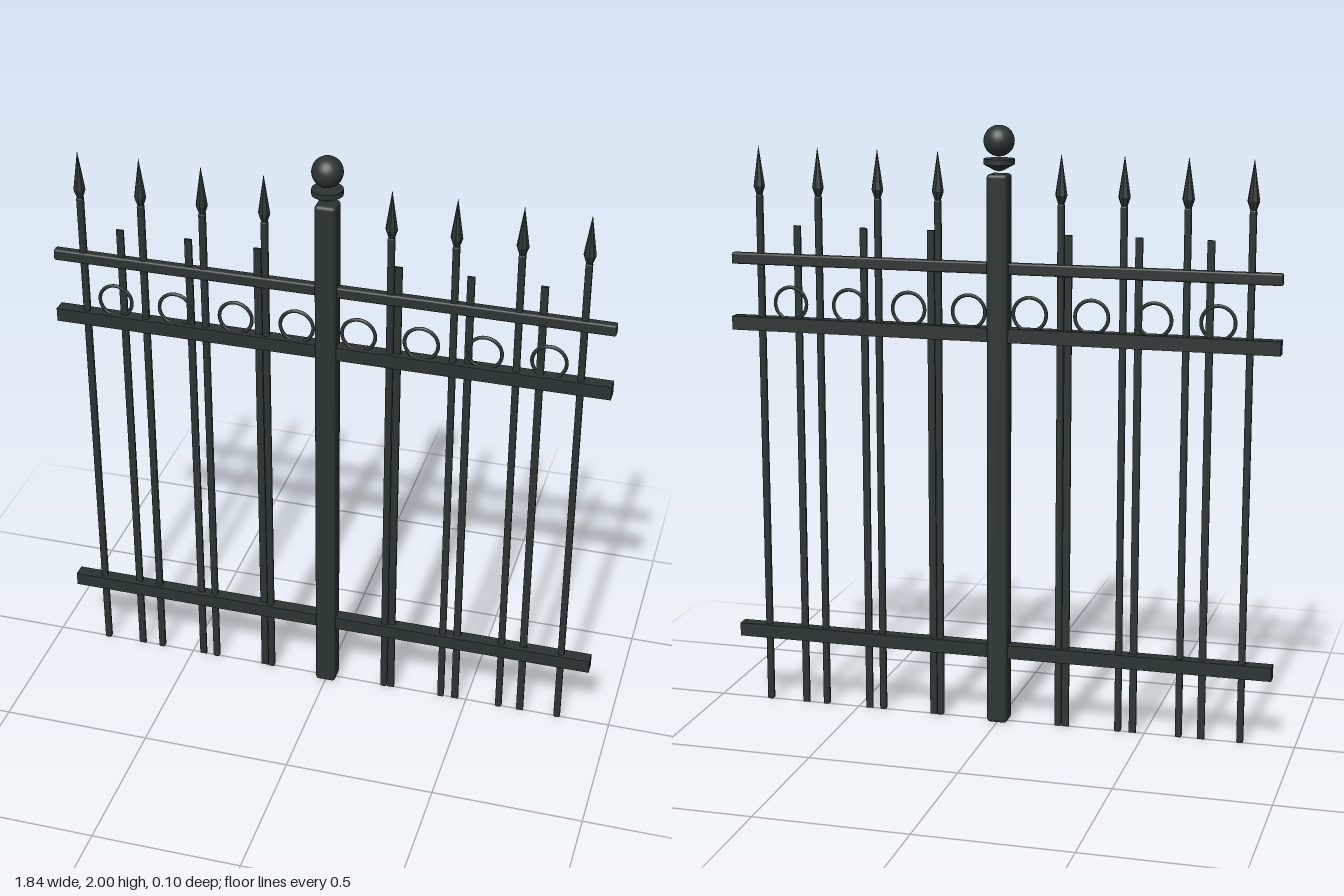
import * as THREE from 'three';
import { RoundedBoxGeometry } from 'three/addons/geometries/RoundedBoxGeometry.js';

export function createModel() {
  const model = new THREE.Group();
  model.name = 'fencePanel';
  const iron = new THREE.MeshStandardMaterial({ color: 0x2a3433 });
  const facetedIron = new THREE.MeshStandardMaterial({ color: 0x2a3433, flatShading: true });

  const add = (name, geometry, x, y, z = 0, material = iron) => {
    const mesh = new THREE.Mesh(geometry, material);
    mesh.name = name;
    mesh.position.set(x, y, z);
    model.add(mesh);
    return mesh;
  };
  const lathe = (points, sides) =>
    new THREE.LatheGeometry(points.map(([r, y]) => new THREE.Vector2(r, y)), sides);

  // Central post with flared cap and ball finial
  add('post', new RoundedBoxGeometry(0.07, 1.845, 0.07, 2, 0.012), 0, 0.9225);
  add('postCap', lathe([[0, 1.852], [0.015, 1.856], [0.05, 1.875], [0.05, 1.893], [0, 1.893]], 24),
    0, 0, 0, facetedIron);
  add('ballFinial', new THREE.SphereGeometry(0.05, 32, 20), 0, 1.95);

  // Horizontal rails
  add('topRail', new RoundedBoxGeometry(1.84, 0.038, 0.03, 2, 0.006), 0, 1.54);
  const rail = new THREE.BoxGeometry(1.84, 0.046, 0.044);
  add('middleRail', rail, 0, 1.323);
  add('bottomRail', rail, 0, 0.249);

  // Shared picket, spear, slat and ring shapes
  const picket = new RoundedBoxGeometry(0.022, 1.755, 0.022, 2, 0.006);
  const spear = lathe([[0, 1.752], [0.01, 1.753], [0.02, 1.782], [0, 1.915]], 8);
  const slat = new THREE.BoxGeometry(0.024, 1.655, 0.008);
  const ring = new THREE.TorusGeometry(0.055, 0.006, 8, 32);

  for (const side of [-1, 1]) {
    for (let i = 0; i < 4; i++) {
      const x = side * 0.205 * (i + 1);
      add('picket', picket, x, 0.8775);
      add('spearTip', spear, x, 0, 0, facetedIron);
      add('ring', ring, side * (0.1025 + 0.205 * i), 1.393);
    }
    // Flat slats between the spear pickets
    for (let i = 1; i <= 3; i++) add('slat', slat, side * 0.23 * i, 0.8275);
  }
  return model;
}
